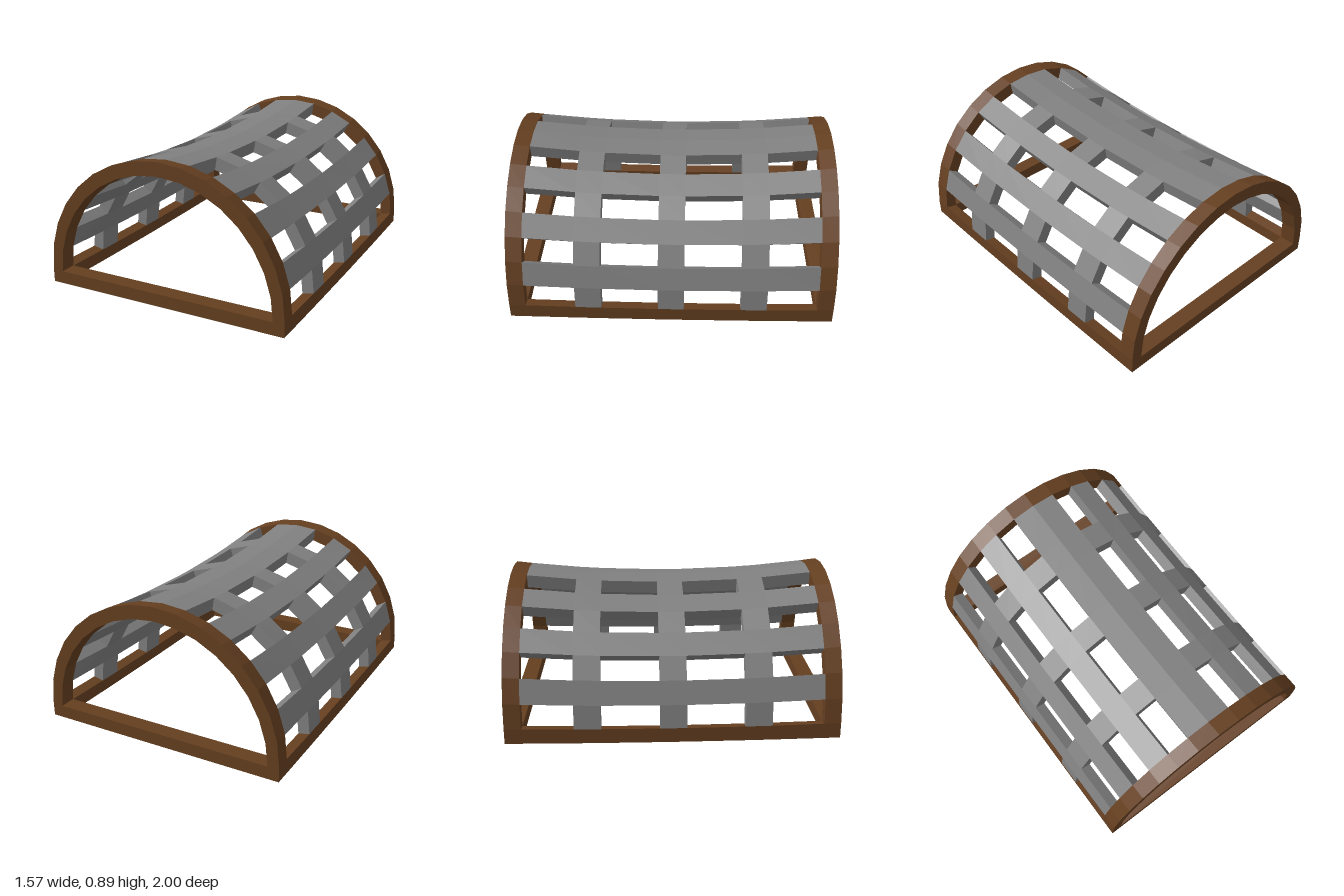
import * as THREE from 'three';

// Stations along the length; odd bands between them hold the openings
const Z = [-1, -0.9, -0.59, -0.43, -0.08, 0.08, 0.43, 0.59, 0.9, 1];
const SEGS = 18; // two straight feet plus 16 arc facets

// Everything sags towards the middle of the length, most at the top
const sag = (y, z) => y - (0.008 + 0.065 * y) * (1 - z * z);

// Corner of the vault wall: j around the arch (from +x), b along z
function corner(j, b, outer, part) {
  const z = Z[b], r = outer ? 0.785 : 0.715, cy = outer ? 0.105 : 0.09;
  let x, y;
  if (j === 0 || j === SEGS) {
    x = j === 0 ? r : -r;
    y = 0.009;
  } else {
    const a = ((j - 1) / 16) * Math.PI;
    x = r * Math.cos(a);
    y = cy + r * Math.sin(a);
    // the lattice thins to a crease along the ridge
    if (j === 9 && !outer && part === 'lattice') y = 0.87;
  }
  return [x, sag(y, z), z];
}

// Which part fills a cell, or null for an opening
function partAt(k, b) {
  if (k < 0 || k >= SEGS || b < 0 || b >= Z.length - 1) return null;
  if (b === 0) return 'backArch';
  if (b === Z.length - 2) return 'frontArch';
  if (k === 0) return 'leftRail';
  if (k === SEGS - 1) return 'rightRail';
  const fromFoot = Math.min(k, SEGS - 1 - k);
  return b % 2 === 1 && fromFoot % 2 === 1 ? null : 'lattice';
}

export function createModel() {
  const wood = new THREE.MeshStandardMaterial({ color: 0x653f20 });
  wood.name = 'brown wood';
  const grey = new THREE.MeshStandardMaterial({ color: 0x808080 });
  grey.name = 'grey lattice';

  const group = new THREE.Group();
  group.name = 'archedLattice';
  const faces = {};

  // Collect the faces of every filled cell
  for (let b = 0; b < Z.length - 1; b++) {
    for (let k = 0; k < SEGS; k++) {
      const part = partAt(k, b);
      if (!part) continue;
      const out = (faces[part] ??= []);
      const P = (u, v, w) => corner(k + u, b + v, w === 1, part);
      const quad = (p, q, r, s) => out.push(...p, ...q, ...r, ...p, ...r, ...s);

      // outer and inner skins
      quad(P(0, 0, 1), P(1, 0, 1), P(1, 1, 1), P(0, 1, 1));
      quad(P(0, 0, 0), P(0, 1, 0), P(1, 1, 0), P(1, 0, 0));
      // edges where the part ends
      if (partAt(k + 1, b) !== part) quad(P(1, 0, 0), P(1, 1, 0), P(1, 1, 1), P(1, 0, 1));
      if (partAt(k - 1, b) !== part) quad(P(0, 0, 0), P(0, 0, 1), P(0, 1, 1), P(0, 1, 0));
      if (partAt(k, b + 1) !== part) quad(P(0, 1, 0), P(0, 1, 1), P(1, 1, 1), P(1, 1, 0));
      if (partAt(k, b - 1) !== part) quad(P(0, 0, 0), P(1, 0, 0), P(1, 0, 1), P(0, 0, 1));
    }
  }

  for (const [name, positions] of Object.entries(faces)) {
    const geo = new THREE.BufferGeometry();
    geo.setAttribute('position', new THREE.Float32BufferAttribute(positions, 3));
    geo.computeVertexNormals();
    const mesh = new THREE.Mesh(geo, name === 'lattice' ? grey : wood);
    mesh.name = name;
    group.add(mesh);
  }

  // Cross bars closing the foot of each arch
  for (const side of [1, -1]) {
    const bar = new THREE.Mesh(new THREE.BoxGeometry(1.43, 0.08, 0.1), wood);
    bar.name = side > 0 ? 'frontBar' : 'backBar';
    bar.position.set(0, 0.049, 0.95 * side);
    group.add(bar);
  }
  return group;
}
